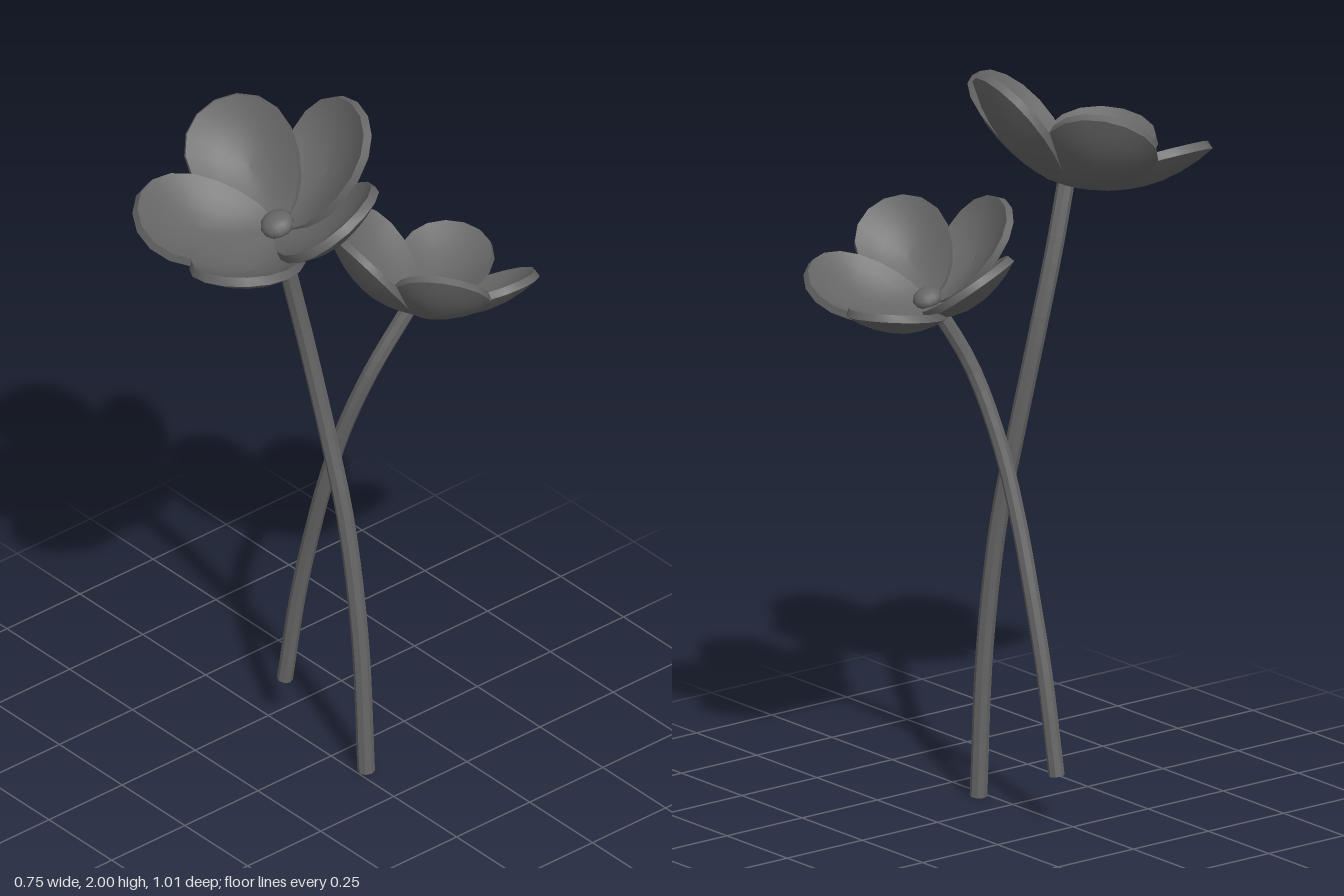
import * as THREE from 'three';

const grey = new THREE.MeshStandardMaterial({ color: 0x666666 });
const stemGrey = new THREE.MeshStandardMaterial({ color: 0x666666, flatShading: true });

// Cupped petal with a slanted rim, running from the origin along +x.
function petalGeometry(length, halfWidth, depth, thickness) {
  const sides = 18, inset = 0.96, positions = [], index = [];
  const ring = (r, drop) => {
    const start = positions.length / 3;
    for (let i = 0; i < sides; i++) {
      const a = (i / sides) * Math.PI * 2;
      const x = length * (0.5 - 0.5 * r * Math.cos(a));
      const z = halfWidth * r * Math.sin(a) * (1 - 0.22 * Math.cos(a));
      positions.push(x, -depth * (1 - r * r) - drop, z);
    }
    return start;
  };
  const band = (rings) => {
    const starts = rings.map(([r, drop]) => ring(r, drop));
    for (let j = 0; j < starts.length - 1; j++) {
      for (let i = 0; i < sides; i++) {
        const k = (i + 1) % sides, A = starts[j], B = starts[j + 1];
        index.push(A + i, B + i, B + k, A + i, B + k, A + k);
      }
    }
  };
  const steps = [0.001, 0.25, 0.5, 0.75, 1];
  band(steps.map((r) => [r * inset, 0])); // inner face
  band([[inset, 0], [1, thickness]]); // rim
  band(steps.slice().reverse().map((r) => [r, thickness])); // outer face
  const geometry = new THREE.BufferGeometry();
  geometry.setAttribute('position', new THREE.Float32BufferAttribute(positions, 3));
  geometry.setIndex(index);
  geometry.computeVertexNormals();
  return geometry;
}

// Five overlapping petals, each rolled so one edge lies over its neighbour.
function createFlower(name, size, startAngle) {
  const flower = new THREE.Group();
  flower.name = name;
  const geometry = petalGeometry(0.388 * size, 0.143 * size, 0.05 * size, 0.027 * size);
  for (let i = 0; i < 5; i++) {
    const petal = new THREE.Mesh(geometry, grey);
    petal.name = 'petal';
    const angle = THREE.MathUtils.degToRad(startAngle + i * 72);
    petal.rotation.set(-0.09, -angle, THREE.MathUtils.degToRad(32), 'YZX');
    flower.add(petal);
  }
  const button = new THREE.Mesh(new THREE.SphereGeometry(0.045 * size, 12, 8), grey);
  button.name = 'flowerCentre';
  button.scale.y = 0.65;
  button.position.y = 0.018 * size;
  flower.add(button);
  return flower;
}

// Curved stem with closed ends.
function createStem(name, points, radius) {
  const stem = new THREE.Group();
  stem.name = name;
  const curve = new THREE.CatmullRomCurve3(points.map((p) => new THREE.Vector3(...p)));
  const tube = new THREE.Mesh(new THREE.TubeGeometry(curve, 24, radius, 8), stemGrey);
  tube.name = 'stemTube';
  stem.add(tube);
  for (const t of [0, 1]) {
    const cap = new THREE.Mesh(new THREE.CircleGeometry(radius, 8), stemGrey);
    cap.name = 'stemEnd';
    cap.position.copy(curve.getPointAt(t));
    const outward = curve.getTangentAt(t).multiplyScalar(t ? 1 : -1);
    cap.quaternion.setFromUnitVectors(new THREE.Vector3(0, 0, 1), outward);
    stem.add(cap);
  }
  return stem;
}

export function createModel() {
  const model = new THREE.Group();
  model.name = 'flowers';

  // Tall flower, nodding to the front
  model.add(createStem('tallStem', [
    [0.112, 0, -0.024], [0.092, 0.4, -0.02], [0.05, 0.75, -0.008], [0, 1.0, 0.01],
    [-0.045, 1.3, 0.05], [-0.053, 1.5, 0.095], [-0.042, 1.67, 0.143],
  ], 0.023));
  const tall = createFlower('tallFlower', 1, -86);
  tall.position.set(-0.038, 1.687, 0.145);
  tall.rotation.x = THREE.MathUtils.degToRad(22.5);
  model.add(tall);

  // Short flower, nodding to the back
  model.add(createStem('shortStem', [
    [-0.205, 0.13, -0.018], [-0.165, 0.4, -0.027], [-0.12, 0.6, -0.032], [-0.065, 0.8, -0.035],
    [-0.005, 1.0, -0.05], [0.06, 1.2, -0.093], [0.102, 1.37, -0.18],
  ], 0.021));
  const short = createFlower('shortFlower', 0.86, 98);
  short.position.set(0.105, 1.375, -0.195);
  short.rotation.set(THREE.MathUtils.degToRad(-22), 0, 0.05);
  model.add(short);

  return model;
}
